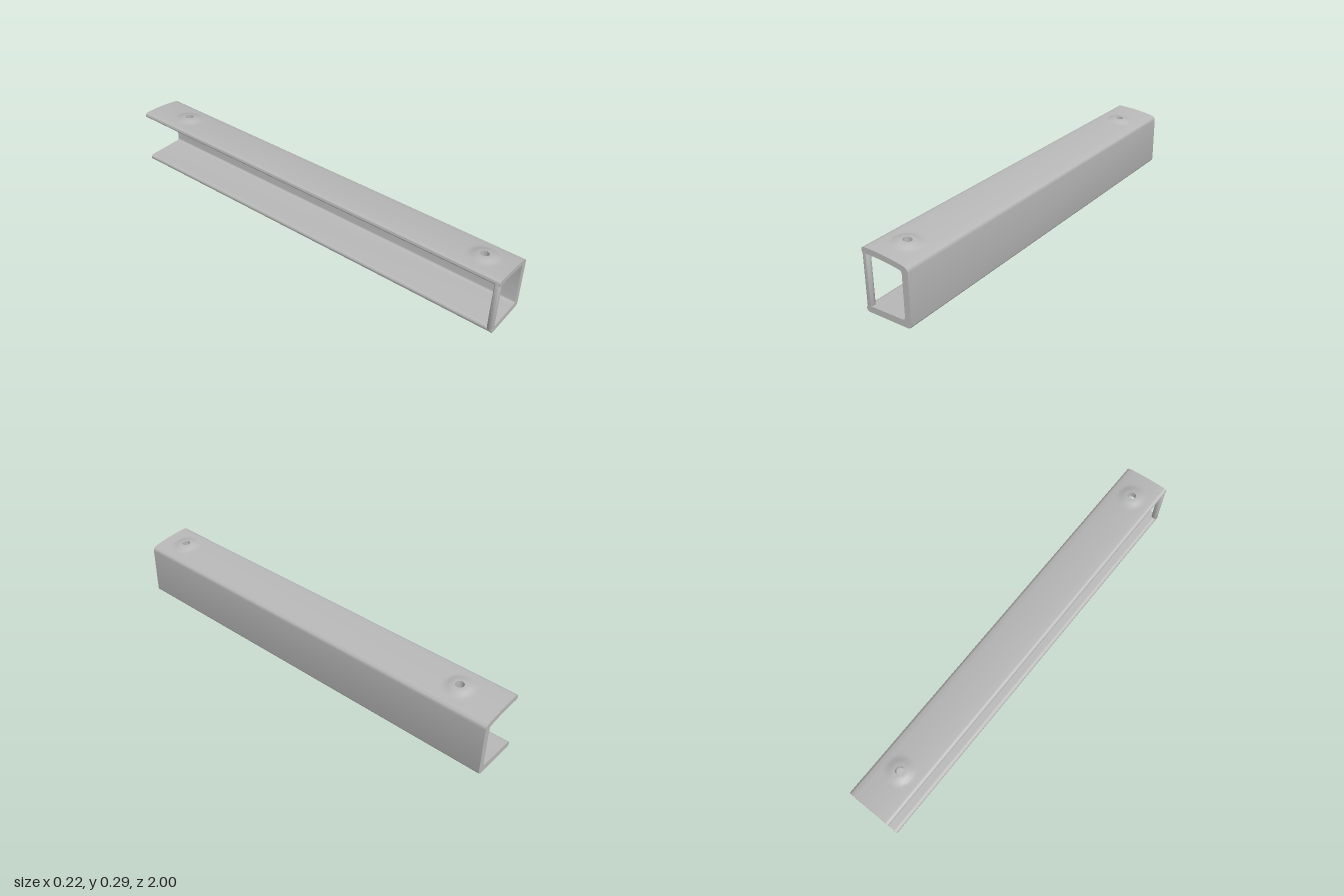
import * as THREE from 'three';
import { mergeGeometries, toCreasedNormals } from 'three/addons/utils/BufferGeometryUtils.js';
import { RoundedBoxGeometry } from 'three/addons/geometries/RoundedBoxGeometry.js';

const HALF = 0.075;          // half width of the middle strip of the top flange
const THICK = 0.025;
const HOLES = [-0.8, 0.87];  // z of the screw holes
const HOLE_R = 0.019;

// Gently bowed top flange, swelling around each hole
const crown = x => 0.277 - 0.12 * x - 0.5 * x * x;
const swell = (x, z) => HOLES.reduce((s, c) =>
  s + 1 - THREE.MathUtils.smoothstep(Math.hypot(x, z - c), 0.022, 0.072), 0);
const topY = (x, z) => crown(x) + 0.011 * swell(x, z);
const underY = (x, z) => crown(x) - THICK - 0.003 * swell(x, z);

// Slab following the flange; map(u, v) gives the plan position [x, z]
function slab(map, nu, nv) {
  const pos = [];
  const vert = (height) => (i, j) => {
    const [x, z] = map(i / nu, j / nv);
    return [x, height(x, z), z];
  };
  const T = vert(topY), B = vert(underY);
  const quad = (a, b, c, d) => pos.push(...a, ...b, ...c, ...a, ...c, ...d);
  for (let i = 0; i < nu; i++) {
    for (let j = 0; j < nv; j++) {
      quad(T(i, j), T(i, j + 1), T(i + 1, j + 1), T(i + 1, j));
      quad(B(i, j), B(i + 1, j), B(i + 1, j + 1), B(i, j + 1));
    }
    quad(T(i, 0), T(i + 1, 0), B(i + 1, 0), B(i, 0));
    quad(T(i + 1, nv), T(i, nv), B(i, nv), B(i + 1, nv));
  }
  const g = new THREE.BufferGeometry();
  g.setAttribute('position', new THREE.Float32BufferAttribute(pos, 3));
  g.computeVertexNormals();
  return g;
}

const plainSlab = (z0, z1) =>
  slab((u, v) => [(u * 2 - 1) * HALF, z0 + (z1 - z0) * v], 12, 2);

const holedSlab = zc => slab((u, v) => {
  const a = -u * Math.PI * 2, c = Math.cos(a), s = Math.sin(a);
  const edge = HALF / Math.max(Math.abs(c), Math.abs(s));
  const r = HOLE_R + (edge - HOLE_R) * v;
  return [c * r, zc + s * r];
}, 48, 10);

// Constant section running the whole length
function rail(shape) {
  const g = new THREE.ExtrudeGeometry(shape, { depth: 2, bevelEnabled: false, curveSegments: 6 });
  g.translate(0, 0, -1);
  g.deleteAttribute('uv');
  return g;
}

export function createModel() {
  const group = new THREE.Group();
  const metal = new THREE.MeshStandardMaterial({ color: 0xb8b8b8 });
  metal.name = 'grey metal';
  const add = (name, geometry) => {
    const mesh = new THREE.Mesh(toCreasedNormals(geometry, 0.6), metal);
    mesh.name = name;
    group.add(mesh);
  };

  // Side wall and floor with rounded corners
  const wall = new THREE.Shape();
  wall.moveTo(HALF, crown(HALF));
  wall.lineTo(0.09, 0.262);
  wall.quadraticCurveTo(0.112, 0.258, 0.112, 0.238);
  wall.lineTo(0.112, 0.02);
  wall.quadraticCurveTo(0.112, 0, 0.092, 0);
  wall.lineTo(-0.095, 0.004);
  wall.quadraticCurveTo(-0.112, 0.005, -0.112, 0.018);
  wall.quadraticCurveTo(-0.112, 0.032, -0.095, 0.032);
  wall.lineTo(0.068, 0.03);
  wall.quadraticCurveTo(0.083, 0.03, 0.083, 0.045);
  wall.lineTo(0.083, 0.225);
  wall.quadraticCurveTo(0.083, 0.236, HALF, crown(HALF) - THICK);
  wall.closePath();
  add('wallAndFloor', rail(wall));

  // Rounded free edge of the top flange
  const lip = new THREE.Shape();
  lip.moveTo(-HALF, crown(-HALF));
  lip.lineTo(-0.096, crown(-0.096));
  lip.quadraticCurveTo(-0.112, 0.284, -0.112, 0.27);
  lip.quadraticCurveTo(-0.112, 0.258, -0.096, 0.258);
  lip.lineTo(-HALF, crown(-HALF) - THICK);
  lip.closePath();
  add('topLip', rail(lip));

  // Middle of the top flange: plain runs alternating with holed squares
  const [back, front] = HOLES;
  add('topFlange', mergeGeometries([
    plainSlab(-1, back - HALF),
    holedSlab(back),
    plainSlab(back + HALF, front - HALF),
    holedSlab(front),
    plainSlab(front + HALF, 1),
  ]));

  // Slim post closing the open side at the front end
  const post = new RoundedBoxGeometry(0.027, 0.272, 0.026, 4, 0.009);
  post.translate(-0.0985, 0.145, 0.987);
  add('frontPost', post);

  return group;
}
